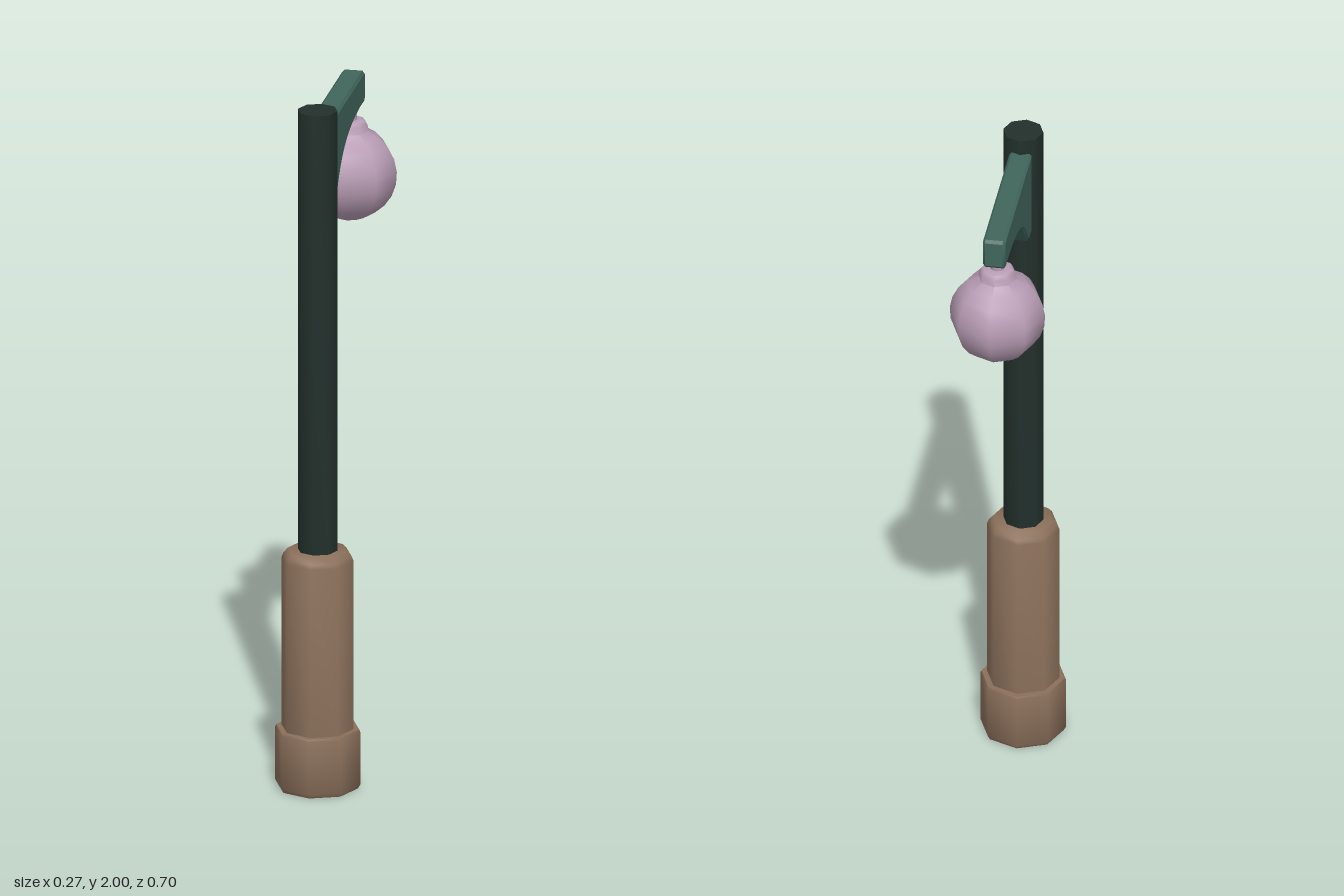
import * as THREE from 'three';
import { toCreasedNormals } from 'three/addons/utils/BufferGeometryUtils.js';

const SIDES = 8;

// Eight-sided turned part, smooth around and sharp at steps
function turned(name, color, z, points) {
  const profile = points.map(([r, y]) => new THREE.Vector2(r, y));
  const geometry = toCreasedNormals(new THREE.LatheGeometry(profile, SIDES), 0.9);
  const mesh = new THREE.Mesh(geometry, new THREE.MeshStandardMaterial({ color }));
  mesh.name = name;
  mesh.position.z = z;
  return mesh;
}

export function createModel() {
  const group = new THREE.Group();
  group.name = 'streetLamp';
  const poleZ = 0.227, lampZ = -0.216;

  // Stepped base with bevelled shoulder
  group.add(turned('base', 0x8b705b, poleZ, [
    [0, 0], [0.115, 0], [0.122, 0.012], [0.122, 0.168], [0.119, 0.175],
    [0.103, 0.175], [0.103, 0.672], [0.098, 0.685], [0.085, 0.7], [0, 0.7],
  ]));

  // Tall pole
  group.add(turned('pole', 0x22302c, poleZ, [
    [0, 0.69], [0.057, 0.69], [0.057, 2], [0, 2],
  ]));

  // Arm with a curved underside, drawn along z and given bevelled edges
  const shape = new THREE.Shape();
  shape.moveTo(0.185, 1.695);
  shape.lineTo(0.185, 1.955);
  shape.lineTo(-0.272, 1.955);
  shape.lineTo(-0.28, 1.947);
  shape.lineTo(-0.28, 1.872);
  shape.lineTo(-0.27, 1.862);
  shape.lineTo(-0.2, 1.862);
  shape.bezierCurveTo(-0.06, 1.853, 0.02, 1.825, 0.08, 1.755);
  shape.lineTo(0.127, 1.697);
  shape.lineTo(0.135, 1.695);
  const bevel = 0.007, width = 0.064;
  const armGeometry = new THREE.ExtrudeGeometry(shape, {
    depth: width - 2 * bevel, curveSegments: 8,
    bevelThickness: bevel, bevelSize: bevel, bevelOffset: -bevel, bevelSegments: 1,
  });
  armGeometry.translate(0, 0, bevel - width / 2);
  armGeometry.rotateY(-Math.PI / 2);
  const arm = new THREE.Mesh(
    toCreasedNormals(armGeometry, 0.6),
    new THREE.MeshStandardMaterial({ color: 0x41665c }),
  );
  arm.name = 'arm';
  group.add(arm);

  // Hanging globe with its collar and stem
  const radius = 0.136, globe = [];
  const rings = 10, top = 0.87;
  for (let i = 0; i <= rings; i++) {
    const a = Math.PI * top * i / rings;
    globe.push([radius * Math.sin(a), 1.671 - radius * Math.cos(a)]);
  }
  group.add(turned('globe', 0xb99db5, lampZ, [
    ...globe, [0.052, 1.815], [0.044, 1.826], [0.021, 1.828], [0.021, 1.88], [0, 1.88],
  ]));

  return group;
}
